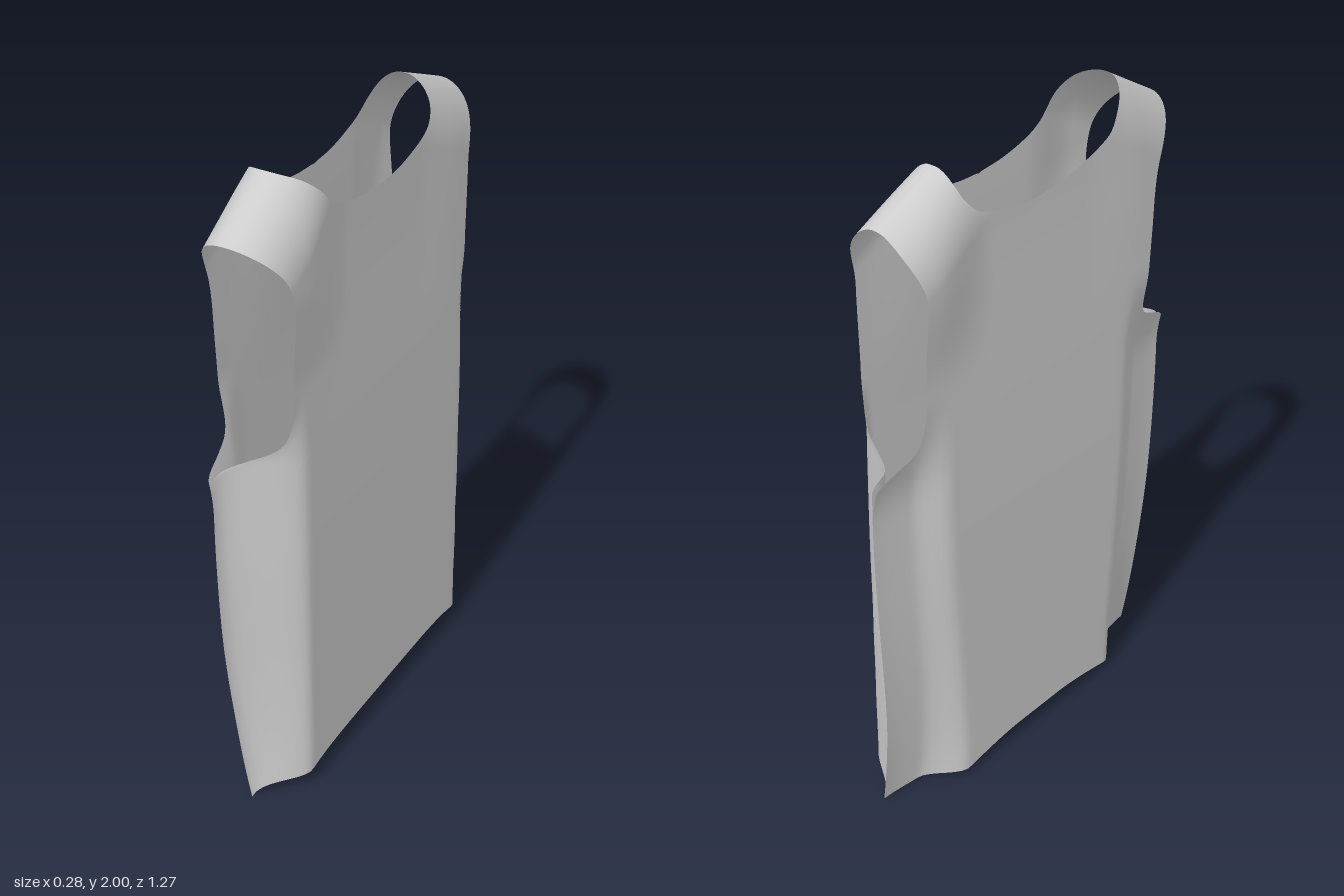
import * as THREE from 'three';
import { mergeVertices } from 'three/addons/utils/BufferGeometryUtils.js';

const smooth = (x, a, b) => THREE.MathUtils.smoothstep(x, a, b);
const lerp = THREE.MathUtils.lerp;
const NECK = 12; // station where the neckline leaves the centre line

// Stations from hem to shoulder: [inner z, inner y, outer z, outer y]
const body = [
  [0, 0, 0.58, 0], [0, 0.3, 0.595, 0.3], [0, 0.6, 0.62, 0.6],
  [0, 0.9, 0.635, 0.9], [0, 1.12, 0.635, 1.12], [0, 1.18, 0.625, 1.168],
];
const frontHalf = {
  dir: 1, tipZ: 0.42, tipY: 2.0, slope: 0.585,
  stations: [...body,
    [0, 1.21, 0.56, 1.2], [0, 1.24, 0.512, 1.23], [0, 1.3, 0.493, 1.285],
    [0, 1.45, 0.497, 1.4], [0, 1.62, 0.505, 1.52], [0, 1.795, 0.51, 1.62],
    [0, 1.81, 0.517, 1.68], [0.1, 1.82, 0.527, 1.725], [0.2, 1.843, 0.542, 1.765],
    [0.29, 1.88, 0.56, 1.797], [0.34, 1.935, 0.58, 1.825],
    [0.385, 1.978, 0.602, 1.853], [0.42, 2, 0.625, 1.88]],
};
const backHalf = {
  dir: -1, tipZ: 0.31, tipY: 1.98, slope: 0.45,
  stations: [...body,
    [0, 1.21, 0.56, 1.2], [0, 1.24, 0.505, 1.225], [0, 1.3, 0.483, 1.28],
    [0, 1.45, 0.48, 1.4], [0, 1.62, 0.483, 1.52], [0, 1.795, 0.485, 1.62],
    [0, 1.81, 0.486, 1.68], [0.08, 1.815, 0.492, 1.72], [0.16, 1.83, 0.505, 1.76],
    [0.245, 1.858, 0.52, 1.8], [0.29, 1.9, 0.53, 1.835],
    [0.305, 1.94, 0.533, 1.86], [0.308, 1.98, 0.532, 1.88]],
};

// How far the cloth is pinched in from the flat panel towards the side seam
function pinch(side, half, z, y) {
  const width = 0.58 + 0.055 * smooth(y, 0, 0.9);
  if (side > 0) {
    const [a, b] = half.dir > 0 ? [0.44, 0.635] : [0.455, 0.59];
    return smooth(z, a, Math.min(b, width)) * (1 - smooth(y, 1.19, 1.4));
  }
  const a = 0.33 + 0.05 * smooth(y, 0, 1);
  return (0.7 * smooth(z, a, a + 0.12) + 0.3 * smooth(z, a, width)) * (1 - smooth(y, 1.05, 1.4));
}

// Depth of the cloth: flat panel, pinched side seams, arched shoulder
function depth(side, half, z, y) {
  const seam = -0.055 * (1 - Math.max(0, 1 - y / 0.8) ** 2.5);
  const bulge = side === half.dir
    ? 0.022 * smooth(y, 1.4, 1.72) * smooth(z, 0.2, 0.45) : 0;
  const lean = 0.01 * smooth(y, 1.2, 1.8) * (1 - smooth(z, 0.2, 0.45));
  const low = (side > 0 ? 0.01 : 0.003) * (1 - smooth(y, 0.8, 1.5));
  const full = side * (0.118 + bulge - lean + low);
  const drop = half.tipY - half.slope * (z - half.tipZ) - y;
  const a = 1 - THREE.MathUtils.clamp(drop / 0.2, 0, 1);
  return lerp(full, seam, pinch(side, half, z, y)) * Math.sqrt(1 - a * a);
}

// One face of the vest, lofted between centre/neck edge and side/armhole edge
function panelGeometry(side) {
  const pos = [], index = [];
  const cols = 36, rows = 120;
  for (const half of [frontHalf, backHalf]) {
    const st = half.stations, last = st.length - 1;
    const curve = (i) => new THREE.CatmullRomCurve3(
      st.map((p) => new THREE.Vector3(0, p[i + 1], p[i])), false, 'catmullrom', 0.5);
    const inner = curve(0), outer = curve(2);
    const start = pos.length / 3;
    for (let r = 0; r <= rows; r++) {
      const t = 1 - Math.pow(1 - r / rows, 1.3);
      const k = t * last;
      const a = inner.getPoint(t), b = outer.getPoint(t);
      if (k <= NECK) {
        const i = Math.min(Math.floor(k), NECK - 1);
        a.set(0, lerp(st[i][1], st[i + 1][1], k - i), 0);
      }
      for (let c = 0; c <= cols; c++) {
        const s = c / cols;
        const z = lerp(a.z, b.z, s);
        let y = lerp(a.y, b.y, s);
        // wavy hem, a little higher on one face
        const hem = side > 0 ? 0.08 - 0.075 * s ** 5 : 0.053 - 0.048 * smooth(s, 0.15, 0.95);
        // both faces meet on the centre line of the shoulder
        const x = r === rows ? 0 : depth(side, half, z, y);
        y += hem * Math.max(0, 1 - y / 0.3);
        pos.push(x, y, z * half.dir);
      }
    }
    for (let r = 0; r < rows; r++) {
      for (let c = 0; c < cols; c++) {
        const p = start + r * (cols + 1) + c, q = p + cols + 1;
        if (side * half.dir > 0) index.push(p, q, p + 1, p + 1, q, q + 1);
        else index.push(p, p + 1, q, p + 1, q + 1, q);
      }
    }
  }
  const geo = new THREE.BufferGeometry();
  geo.setAttribute('position', new THREE.Float32BufferAttribute(pos, 3));
  geo.setIndex(index);
  const merged = mergeVertices(geo, 1e-4);
  merged.computeVertexNormals();
  return merged;
}

export function createModel() {
  const group = new THREE.Group();
  group.name = 'vest';
  const cloth = new THREE.MeshStandardMaterial({ color: 0xcccccc, side: THREE.DoubleSide });
  cloth.name = 'light grey cloth';
  for (const [side, name] of [[1, 'leftPanel'], [-1, 'rightPanel']]) {
    const mesh = new THREE.Mesh(panelGeometry(side), cloth);
    mesh.name = name;
    group.add(mesh);
  }
  return group;
}
